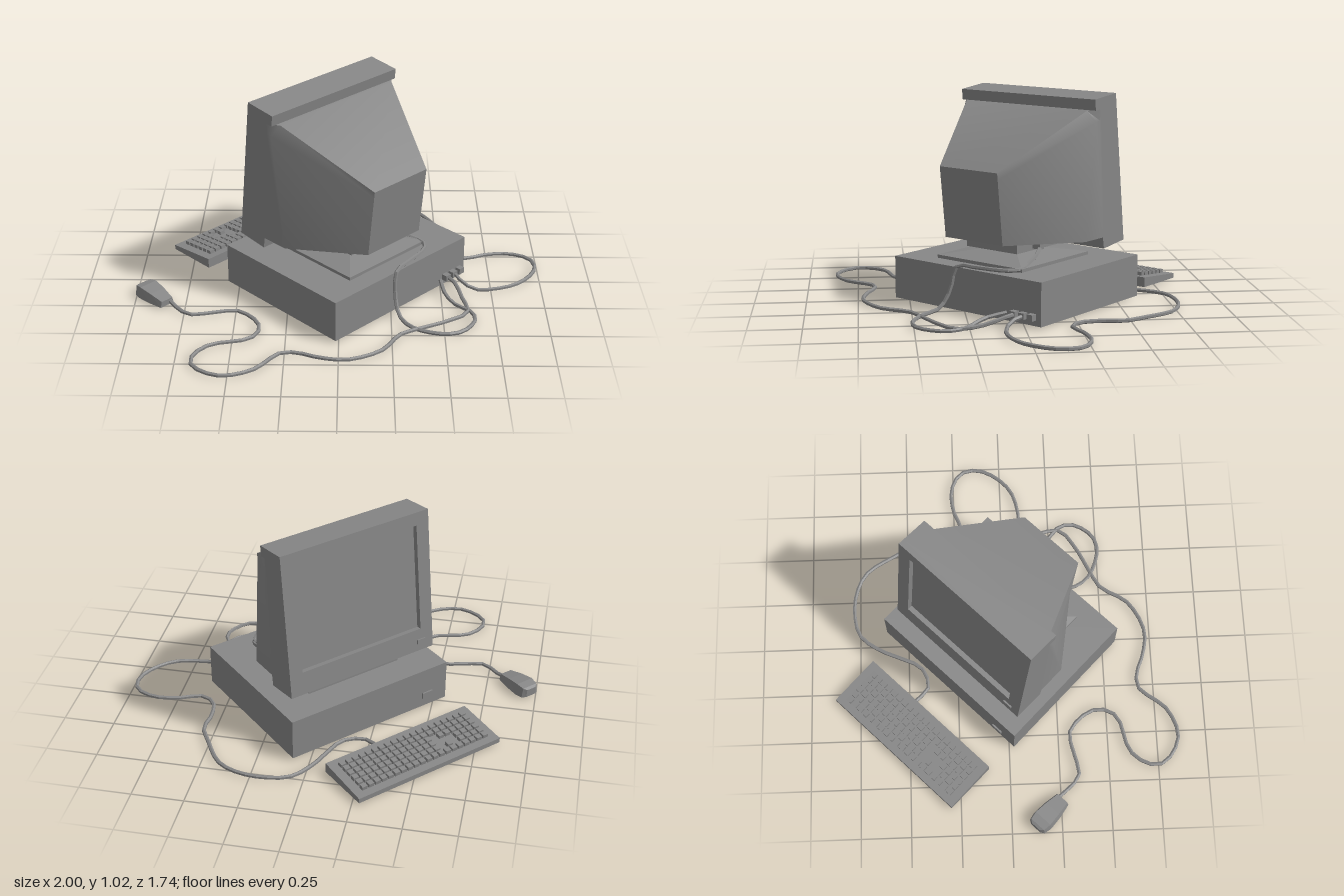
import * as THREE from 'three';
import { mergeGeometries, toCreasedNormals } from 'three/addons/utils/BufferGeometryUtils.js';

const mat = new THREE.MeshStandardMaterial({ color: 0x878787, flatShading: true });
const smoothMat = new THREE.MeshStandardMaterial({ color: 0x878787 });

function add(parent, name, geo, x = 0, y = 0, z = 0, material = mat) {
  const m = new THREE.Mesh(geo, material);
  m.name = name;
  m.position.set(x, y, z);
  parent.add(m);
  return m;
}
const box = (w, h, d) => new THREE.BoxGeometry(w, h, d);

// Joins equal-length rings, ordered from low z to high z, and caps both ends
function loft(rings) {
  const pos = [], n = rings[0].length;
  const tri = (...p) => p.forEach(v => pos.push(...v));
  for (let k = 0; k < rings.length - 1; k++) {
    const a = rings[k], b = rings[k + 1];
    for (let i = 0; i < n; i++) {
      const j = (i + 1) % n;
      tri(a[i], a[j], b[j]);
      tri(a[i], b[j], b[i]);
    }
  }
  const first = rings[0], last = rings[rings.length - 1];
  for (let i = 1; i < n - 1; i++) {
    tri(first[0], first[i + 1], first[i]);
    tri(last[0], last[i], last[i + 1]);
  }
  const g = new THREE.BufferGeometry();
  g.setAttribute('position', new THREE.Float32BufferAttribute(pos, 3));
  g.computeVertexNormals();
  return g;
}
// Closes a ring by mirroring its +x points, given from bottom to top
const mirrored = (...pts) => [...pts, ...pts.map(([x, y, z]) => [-x, y, z]).reverse()];
// Trapezoid ring: half widths at bottom and top, bottom and top height, z
const ring = (wb, wt, y0, y1, z) => mirrored([wb, y0, z], [wt, y1, z]);

function buildMonitor() {
  const g = new THREE.Group();
  g.name = 'monitor';
  const W = 0.82, H = 0.725, h = W / 2;
  const path = pts => pts.map(p => new THREE.Vector2(...p));
  // Front frame with a screen opening
  const frame = new THREE.Shape(path([[-h, 0], [h, 0], [h, H], [-h, H]]));
  frame.holes.push(new THREE.Path(path([[-0.34, 0.115], [-0.34, 0.66], [0.34, 0.66], [0.34, 0.115]])));
  add(g, 'screenFrame', new THREE.ExtrudeGeometry(frame, { depth: 0.03, bevelEnabled: false }), 0, 0, -0.03);
  add(g, 'screen', box(0.7, 0.565, 0.01), 0, 0.387, -0.031);
  add(g, 'monitorButton', box(0.05, 0.022, 0.012), 0.34, 0.05, 0.002);
  add(g, 'topLip', box(W, H - 0.672, 0.138), 0, (H + 0.672) / 2, -0.099);
  // Housing: straight sides, a step underneath, then narrowing to the back
  const housing = loft([
    mirrored([0.175, 0.11, -0.633], [0.175, 0.425, -0.633], [0.175, 0.457, -0.633]),
    mirrored([h, 0.072, -0.31], [h, 0.62, -0.167], [0.37, 0.672, -0.185]),
    mirrored([h, 0.056, -0.168], [h, 0.62, -0.14], [h, 0.672, -0.14]),
    mirrored([h, 0, -0.165], [h, 0.62, -0.13], [h, 0.672, -0.13]),
    mirrored([h, 0, -0.03], [h, 0.62, -0.03], [h, 0.672, -0.03]),
  ]);
  add(g, 'housing', toCreasedNormals(housing, 0.8), 0, 0, 0, smoothMat);
  g.position.set(0, 0.295, 0.315);
  g.rotation.x = -0.11;
  return g;
}

function buildStand() {
  const g = new THREE.Group();
  g.name = 'monitorStand';
  add(g, 'standPlate', box(0.52, 0.016, 0.52), 0, 0.223, 0);
  const slope = new THREE.CylinderGeometry(0.14, 0.3677, 0.028, 4).rotateY(Math.PI / 4);
  add(g, 'standSlope', slope, 0, 0.245, 0);
  add(g, 'swivel', new THREE.CylinderGeometry(0.15, 0.09, 0.03, 12), 0, 0.262, 0);
  add(g, 'monitorFoot', box(0.31, 0.06, 0.31), 0, 0.302, -0.01);
  g.position.z = -0.03;
  return g;
}

function buildKeyboard() {
  const g = new THREE.Group();
  g.name = 'keyboard';
  add(g, 'keyboardBody', loft([
    ring(0.408, 0.408, 0.008, 0.058, -0.1365),
    ring(0.408, 0.408, 0.008, 0.032, 0.1365),
  ]));
  // Rows of keys, with gaps around the arrow cluster
  const keys = [], cols = 20, rows = 6;
  for (let r = 0; r < rows; r++) {
    for (let c = 0; c < cols; c++) {
      const middle = c >= 13 && c <= 15;
      if (middle && (r === 3 || (r === 4 && c !== 14) || (r === 2 && c === 13))) continue;
      const key = box(0.028, 0.02, 0.026);
      key.translate((c - (cols - 1) / 2) * 0.0368, 0.01, (r - (rows - 1) / 2) * 0.0345);
      keys.push(key);
    }
  }
  const k = add(g, 'keys', mergeGeometries(keys), 0, 0.043, 0);
  k.rotation.x = Math.atan2(0.026, 0.273);
  g.position.set(0.029, 0, 0.687);
  return g;
}

// Round cable through points; flat points [x, z] lie on the ground
function cable(parent, name, points) {
  const pts = points.map(p => p.length === 2
    ? new THREE.Vector3(p[0], 0.011, p[1]) : new THREE.Vector3(...p));
  const curve = new THREE.CatmullRomCurve3(pts, false, 'centripetal');
  add(parent, name, new THREE.TubeGeometry(curve, pts.length * 2, 0.01, 6));
}

export function createModel() {
  const root = new THREE.Group();
  root.name = 'desktopComputer';

  // The computer is turned on the spot, its screen facing back and to the right
  const set = new THREE.Group();
  set.name = 'computer';
  set.position.set(0.03, 0, -0.025);
  set.rotation.y = -Math.PI * 0.75;
  root.add(set);

  add(set, 'case', box(0.9, 0.207, 0.768), 0, 0.1115, -0.004);
  add(set, 'powerButton', box(0.06, 0.03, 0.016), 0.335, 0.07, 0.38);
  set.add(buildStand(), buildMonitor(), buildKeyboard());

  // Mouse, tapering towards the cable
  add(set, 'mouse', loft([
    ring(0.04, 0.032, 0.008, 0.038, 0.415),
    ring(0.053, 0.042, 0.008, 0.055, 0.49),
    ring(0.058, 0.048, 0.008, 0.065, 0.56),
    ring(0.05, 0.042, 0.008, 0.058, 0.6),
    ring(0.03, 0.026, 0.01, 0.05, 0.613),
  ]), 0.812);

  // Plugs in the back of the case and under the monitor
  for (const u of [-0.405, -0.355, -0.305]) {
    add(set, 'plug', box(0.032, 0.03, 0.035), u, 0.05, -0.4);
  }
  add(set, 'monitorPlug', box(0.05, 0.03, 0.03), -0.175, 0.295, -0.06);

  cable(root, 'mouseCable', [
    [-0.83, 0.025, 0.235], [-0.79, 0.28], [-0.72, 0.345], [-0.6, 0.325], [-0.49, 0.31],
    [-0.385, 0.42], [-0.385, 0.51], [-0.43, 0.56], [-0.6, 0.61], [-0.67, 0.7], [-0.67, 0.77],
    [-0.61, 0.83], [-0.52, 0.86], [-0.385, 0.81], [-0.27, 0.675], [-0.2, 0.668], [-0.085, 0.71],
    [0.04, 0.725], [0.2, 0.647], [0.29, 0.51], [0.38, 0.46], [0.52, 0.39], [0.62, 0.31],
    [0.6, 0.02, 0.19], [0.57, 0.045, 0.09], [0.535, 0.05, 0.04],
  ]);
  cable(root, 'keyboardCable', [
    [-0.31, 0.025, -0.475], [-0.235, -0.405], [-0.19, -0.405], [-0.12, -0.44], [-0.065, -0.55],
    [-0.02, -0.65], [0.06, -0.75], [0.17, -0.78], [0.3, -0.77], [0.41, -0.715], [0.51, -0.555],
    [0.555, -0.465], [0.545, -0.36], [0.567, -0.25], [0.635, -0.21], [0.75, -0.25], [0.87, -0.26],
    [0.97, -0.21], [0.99, -0.12], [0.94, -0.015], [0.845, 0.065], [0.67, 0.095],
    [0.61, 0.035, 0.065], [0.57, 0.05, 0.005],
  ]);
  cable(root, 'monitorCable', [
    [0.19, 0.295, -0.12], [0.27, 0.265, -0.09], [0.35, 0.235, -0.035], [0.4, 0.228, -0.01],
    [0.42, 0.226, 0.04], [0.4, 0.226, 0.1], [0.33, 0.226, 0.2], [0.275, 0.222, 0.285],
    [0.27, 0.1, 0.32], [0.29, 0.025, 0.37], [0.35, 0.45], [0.49, 0.505], [0.58, 0.485],
    [0.65, 0.385], [0.64, 0.31], [0.565, 0.24], [0.52, 0.03, 0.18], [0.5, 0.05, 0.075],
  ]);

  return root;
}
